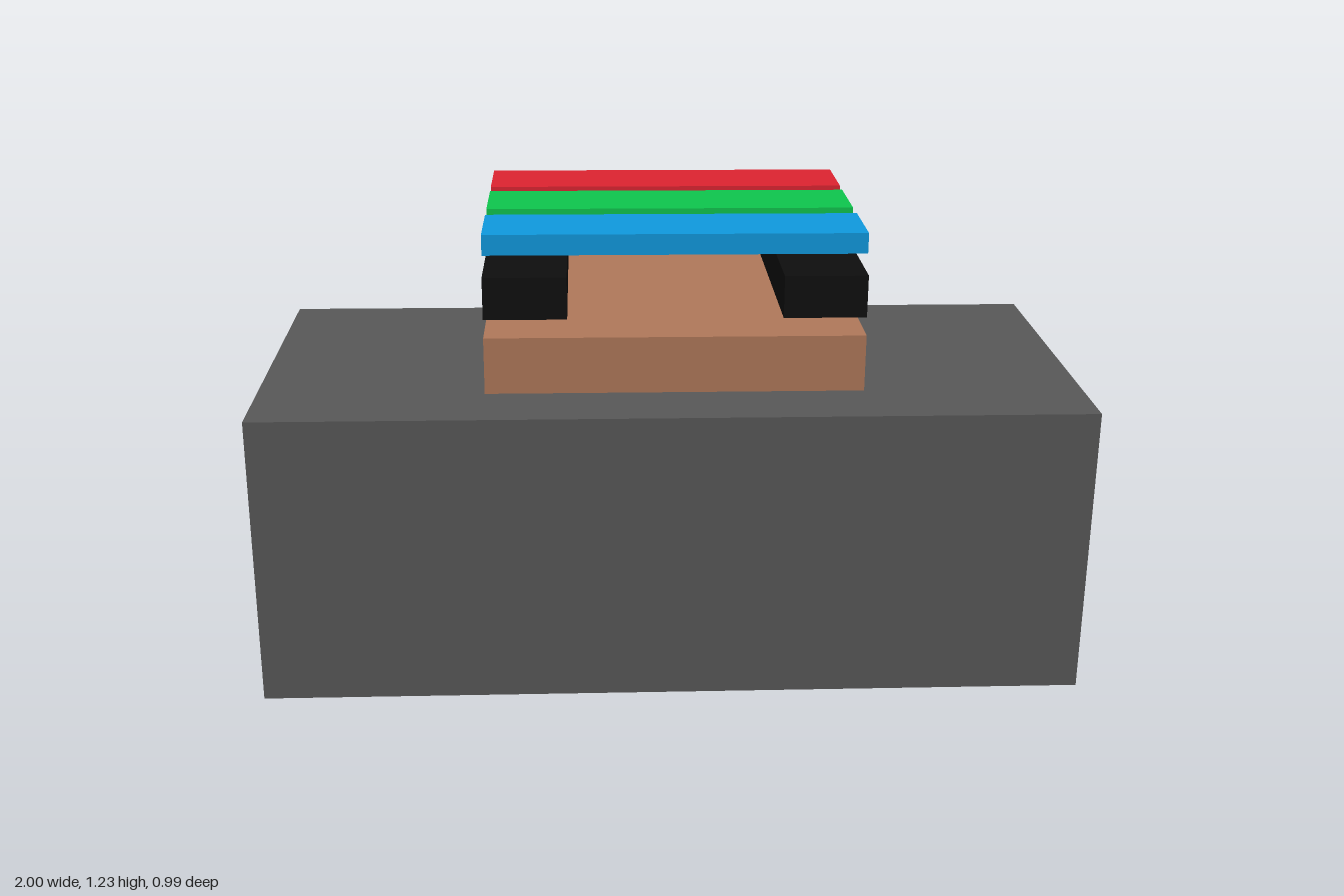
import * as THREE from 'three';

const TILT = THREE.MathUtils.degToRad(8.3);

const mat = (name, color) => {
  const m = new THREE.MeshStandardMaterial({ color });
  m.name = name;
  return m;
};

export function createModel() {
  const model = new THREE.Group();
  model.name = 'layeredBlocks';

  const grey = mat('dark grey', 0x555555);
  const brown = mat('brown', 0xab7557);
  const black = mat('black', 0x0d0d0d);
  const blue = mat('blue', 0x0e95d8);
  const green = mat('green', 0x0dc04b);
  const red = mat('red', 0xd7222f);

  // Every slab shares the same backward tilt
  const slab = (name, material, [w, h, d], [x, y, z]) => {
    const mesh = new THREE.Mesh(new THREE.BoxGeometry(w, h, d), material);
    mesh.name = name;
    mesh.position.set(x, y, z);
    mesh.rotation.x = TILT;
    model.add(mesh);
  };

  // Large block and the board floating above it
  slab('baseBlock', grey, [2, 0.718, 0.9], [0, 0.424, 0]);
  slab('board', brown, [0.894, 0.136, 0.745], [0, 0.884, 0.0715]);

  // Pair of side rails
  for (const [side, s] of [['left', 1], ['right', -1]]) {
    slab(side + 'Rail', black, [0.195, 0.101, 0.735], [s * 0.3495, 1.043, 0.091]);
  }

  // Three coloured slats, front to back
  const slats = [
    ['frontSlat', blue, 1.127, 0.351],
    ['middleSlat', green, 1.1625, 0.099],
    ['backSlat', red, 1.1975, -0.132],
  ];
  for (const [name, material, y, z] of slats) {
    slab(name, material, [0.894, 0.049, 0.193], [0, y, z]);
  }

  return model;
}
